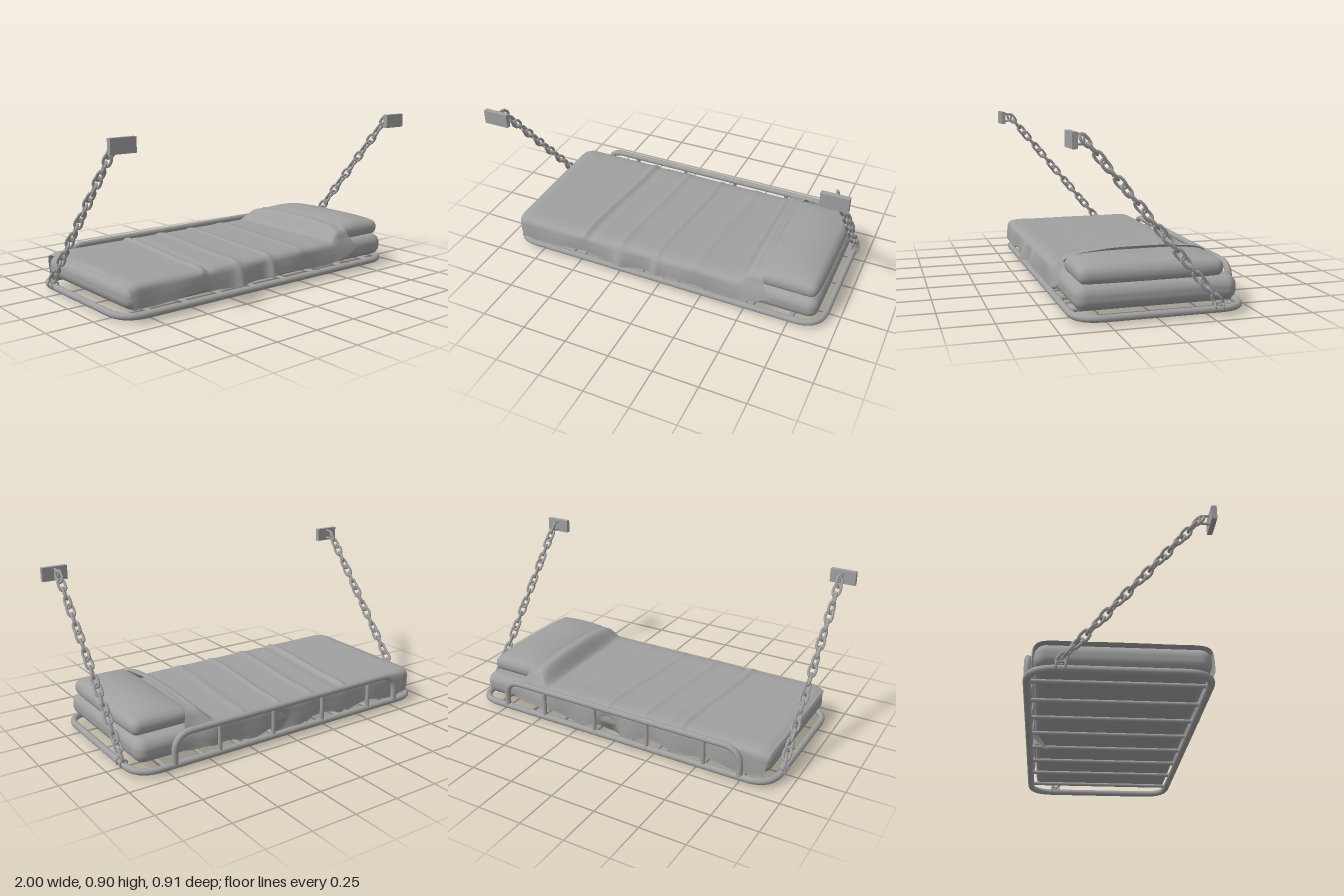
import * as THREE from 'three';
import { RoundedBoxGeometry } from 'three/addons/geometries/RoundedBoxGeometry.js';

const V = (x, y, z) => new THREE.Vector3(x, y, z);
const bell = (t, centre, width) => Math.exp(-(((t - centre) / width) ** 2));

// Path through the corners, each bend rounded off by r
function bentPath(points, r, closed = false) {
  const path = new THREE.CurvePath();
  const n = points.length;
  const toward = (a, b) => a.clone().add(b.clone().sub(a).setLength(r));
  const first = closed ? 0 : 1;
  const last = closed ? n : n - 1;
  const start = closed ? toward(points[0], points[n - 1]) : points[0];
  let pen = start;
  for (let i = first; i < last; i++) {
    const p = points[i];
    const a = toward(p, points[(i + n - 1) % n]);
    const b = toward(p, points[(i + 1) % n]);
    if (pen.distanceTo(a) > 1e-6) path.add(new THREE.LineCurve3(pen, a));
    path.add(new THREE.QuadraticBezierCurve3(a, p, b));
    pen = b;
  }
  path.add(new THREE.LineCurve3(pen, closed ? start : points[n - 1]));
  return path;
}

// Box with many segments, rounded edges, a domed top and pinched ends
function cushion(w, h, d, r, dome) {
  const g = new THREE.BoxGeometry(w, h, d, 32, 10, 48);
  const pos = g.attributes.position;
  const half = V(w / 2 - r, h / 2 - r, d / 2 - r);
  for (let i = 0; i < pos.count; i++) {
    const p = new THREE.Vector3().fromBufferAttribute(pos, i);
    const core = p.clone().clamp(half.clone().negate(), half);
    p.sub(core).setLength(r).add(core);
    const swell = (1 - (2 * p.x / w) ** 2) * (1 - (2 * p.z / d) ** 4);
    if (p.y > 0) p.y += dome * Math.max(0, swell) * (p.y / (h / 2));
    p.x *= 1 - 0.08 * (2 * p.z / d) ** 4;
    pos.setXYZ(i, p.x, p.y, p.z);
  }
  g.computeVertexNormals();
  return g;
}

// Draped sheet: a flat cross-section blends into a raised one over the pillow
function blanketGeometry() {
  const section = (pts) => new THREE.CatmullRomCurve3(pts.map(([z, y]) => V(0, y, z)));
  const flat = section([[0.422, 0.085], [0.42, 0.14], [0.412, 0.18], [0.385, 0.197], [0.2, 0.201], [0, 0.202],
    [-0.2, 0.201], [-0.385, 0.197], [-0.412, 0.18], [-0.418, 0.12], [-0.416, 0.06]]);
  const raised = section([[0.43, 0.095], [0.421, 0.15], [0.403, 0.21], [0.378, 0.257], [0.2, 0.292], [0, 0.302],
    [-0.2, 0.294], [-0.34, 0.268], [-0.378, 0.218], [-0.412, 0.155], [-0.42, 0.09]]);
  const nu = 180, nv = 70, verts = [], index = [];
  for (let i = 0; i <= nu; i++) {
    for (let j = 0; j <= nv; j++) {
      const u = i / nu, v = j / nv;
      const out = Math.abs(2 * v - 1);
      const edge = 0.57 + (v > 0.5 ? 0.11 : 0.085) * out ** 1.5;
      const foot = -0.9 + 0.025 * out ** 2;
      const x = foot + (edge - foot) * u;
      const s = THREE.MathUtils.smoothstep(x, 0.45, 0.545);
      const p = flat.getPoint(v).lerp(raised.getPoint(v), s);
      // tuck around the foot of the mattress and dip in front of the pillow
      const tuck = bell(x, -0.9, 0.03);
      p.z *= 1 - 0.025 * tuck;
      p.y -= 0.012 * tuck + 0.015 * s * bell(x, 0.56, 0.045) * (1 - out);
      // creases across the top
      const bend = x + 0.03 * Math.sin(4 * p.z);
      p.y += 0.011 * bell(bend, -0.43, 0.015) + 0.007 * bell(bend, -0.2, 0.02)
        + 0.007 * bell(bend, 0.02, 0.014) + 0.005 * bell(bend, 0.25, 0.025) - 0.005 * bell(bend, -0.39, 0.025);
      // uneven hems, with a loose tail at the back
      const front = Math.max(0, 1 - v / 0.2), back = Math.max(0, (v - 0.8) / 0.2);
      const tail = bell(x, 0.04, 0.05) * back * back;
      p.z += front * (0.004 + 0.005 * Math.sin(17 * x) + 0.024 * bell(x, -0.01, 0.03) + 0.024 * bell(x, -0.23, 0.04));
      p.y += front * (0.008 * Math.sin(11 * x + 1) + 0.04 * bell(x, 0.66, 0.07));
      p.y += back * 0.014 * Math.sin(19 * x) - tail * 0.07;
      p.z += back * 0.006 * Math.sin(23 * x) + tail * 0.075;
      verts.push(x, Math.max(0, p.y), p.z);
      if (i < nu && j < nv) {
        const a = i * (nv + 1) + j, b = a + nv + 1;
        index.push(a, b, a + 1, b, b + 1, a + 1);
      }
    }
  }
  const g = new THREE.BufferGeometry();
  g.setAttribute('position', new THREE.Float32BufferAttribute(verts, 3));
  g.setIndex(index);
  g.computeVertexNormals();
  return g;
}

export function createModel() {
  const root = new THREE.Group();
  const grey = new THREE.MeshStandardMaterial({ color: 0xa0a0a0 });
  const cloth = new THREE.MeshStandardMaterial({ color: 0xa0a0a0, side: THREE.DoubleSide });
  const add = (name, geometry, parent = root, material = grey) => {
    const mesh = new THREE.Mesh(geometry, material);
    mesh.name = name;
    parent.add(mesh);
    return mesh;
  };

  // Bed frame
  const fx = 0.925, fy = 0.037, zf = 0.408, zb = -0.438;
  add('frame', new THREE.TubeGeometry(
    bentPath([V(-fx, fy, zf), V(fx, fy, zf), V(fx, fy, zb), V(-fx, fy, zb)], 0.14, true), 200, 0.018, 12, true));
  for (let i = 0; i < 8; i++) {
    const slat = add('slat', new THREE.CylinderGeometry(0.011, 0.011, zf - zb, 10));
    slat.rotation.x = Math.PI / 2;
    slat.position.set(-0.77 + i * 0.22, 0.044, (zf + zb) / 2);
  }

  // Guard rail along the back
  const gl = -0.755, gr = 0.715, gy = 0.199;
  add('guardRail', new THREE.TubeGeometry(
    bentPath([V(gl, fy, zb), V(gl, gy, zb), V(gr, gy, zb), V(gr, fy, zb)], 0.1), 120, 0.017, 12));
  for (const x of [-0.55, -0.215, 0.115, 0.45]) {
    add('guardPost', new THREE.CylinderGeometry(0.012, 0.012, gy - fy, 10)).position.set(x, (gy + fy) / 2, zb);
  }

  // Bedding
  add('mattress', new RoundedBoxGeometry(1.8, 0.126, 0.816, 6, 0.055)).position.set(0, 0.123, 0);
  add('pillow', cushion(0.34, 0.08, 0.725, 0.036, 0.036)).position.set(0.725, 0.224, 0.022);
  add('blanket', blanketGeometry(), root, cloth);

  // Wall plates, staples and chains, one set per end
  const a = 0.0175, b = 0.017;
  const linkPath = new THREE.CatmullRomCurve3([V(a, b, 0), V(0.012, b + 0.012, 0), V(0, b + 0.017, 0),
    V(-0.012, b + 0.012, 0), V(-a, b, 0), V(-a, -b, 0), V(-0.012, -b - 0.012, 0),
    V(0, -b - 0.017, 0), V(0.012, -b - 0.012, 0), V(a, -b, 0)], true);
  const linkGeometry = new THREE.TubeGeometry(linkPath, 28, 0.0075, 8, true);
  const top = V(0, 0.855, 0.365), bottom = V(0, 0.085, -0.28);
  const lean = new THREE.Quaternion().setFromUnitVectors(V(0, 1, 0), top.clone().sub(bottom).normalize());
  for (const side of [-1, 1]) {
    const hanger = new THREE.Group();
    hanger.name = side > 0 ? 'leftHanger' : 'rightHanger';
    hanger.position.x = side * 0.93;
    root.add(hanger);
    add('wallPlate', new THREE.BoxGeometry(0.14, 0.075, 0.026), hanger).position.set(0, 0.861, 0.43);
    add('wallStaple', new THREE.TubeGeometry(
      bentPath([V(0, 0.884, 0.425), V(0, 0.884, 0.37), V(0, 0.839, 0.37), V(0, 0.839, 0.425)], 0.018), 30, 0.0065, 8), hanger);
    for (const z of [-0.264, -0.306]) {
      const ring = add('frameStaple', new THREE.TorusGeometry(0.02, 0.005, 8, 24), hanger);
      ring.position.set(0, 0.05, z);
    }
    add('frameStapleBar', new THREE.CylinderGeometry(0.005, 0.005, 0.042, 8), hanger)
      .rotateX(Math.PI / 2).position.set(0, 0.07, -0.285);
    const count = 21;
    for (let i = 0; i < count; i++) {
      const link = add('chainLink', linkGeometry, hanger);
      link.position.lerpVectors(top, bottom, i / (count - 1));
      link.quaternion.copy(lean);
      link.rotateY(side * (i - 1) * Math.PI / 3);
    }
  }
  return root;
}
